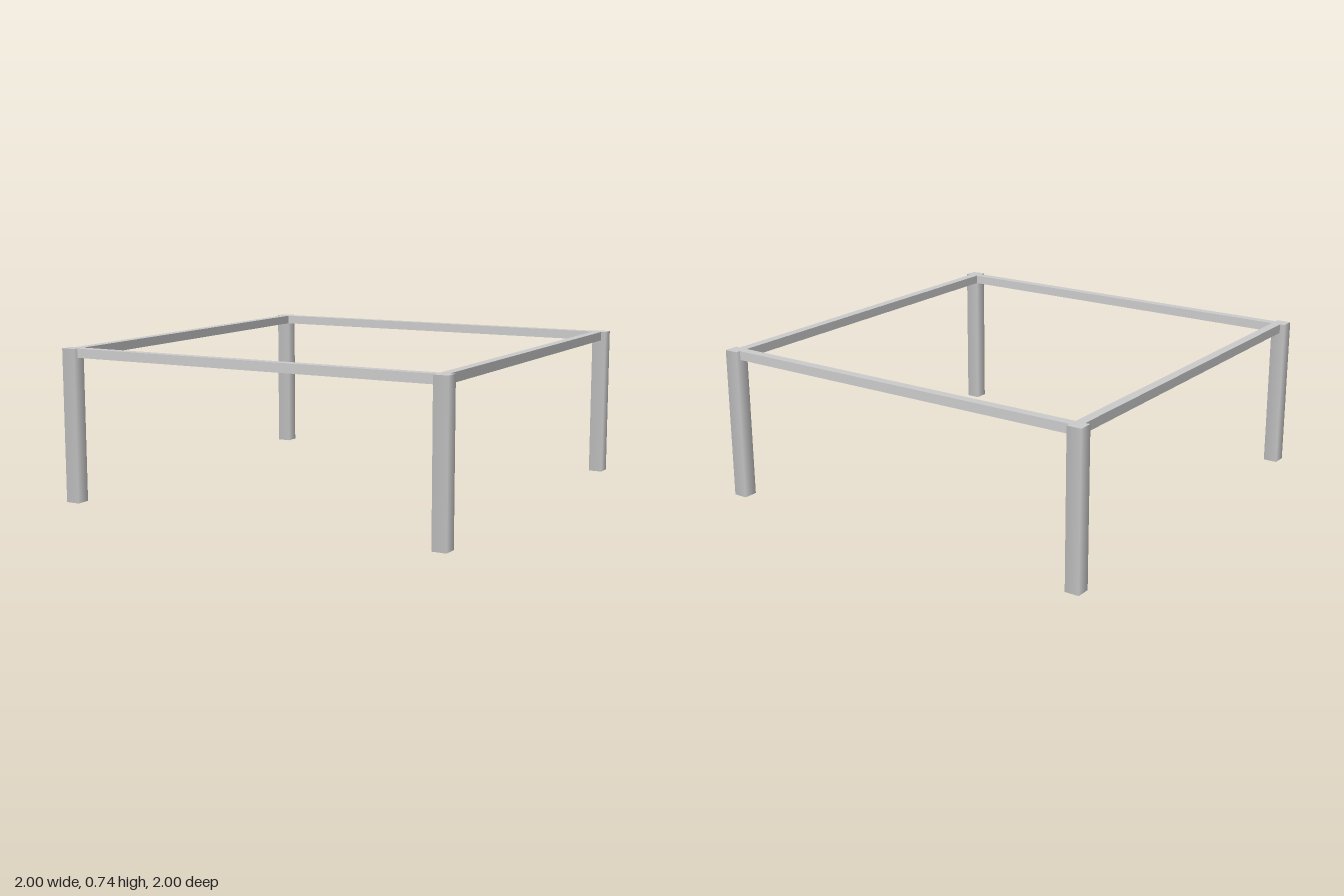
import * as THREE from 'three';

const HEIGHT = 0.74;
const LEG = 0.07;
const RAIL_WIDTH = 0.046;
const RAIL_HEIGHT = 0.044;
const INNER = 1 - LEG; // inner face of the legs and rails

const material = new THREE.MeshStandardMaterial({ color: 0xcccccc, side: THREE.DoubleSide });

function addMesh(parent, name, geometry) {
  const mesh = new THREE.Mesh(geometry, material);
  mesh.name = name;
  parent.add(mesh);
  return mesh;
}

export function createModel() {
  const table = new THREE.Group();
  table.name = 'tableFrame';

  // Square hollow legs, smooth-shaded round the sides, open at the foot
  const tube = new THREE.CylinderGeometry(LEG / Math.SQRT2, LEG / Math.SQRT2, HEIGHT, 4, 1, true)
    .rotateY(Math.PI / 4).translate(0, HEIGHT / 2, 0);
  const cap = new THREE.PlaneGeometry(LEG, LEG).rotateX(-Math.PI / 2).translate(0, HEIGHT, 0);
  for (const [sideName, x] of [['Left', 1], ['Right', -1]]) {
    for (const [endName, z] of [['front', 1], ['back', -1]]) {
      const leg = new THREE.Group();
      leg.name = `${endName}${sideName}Leg`;
      leg.position.set(x * (1 - LEG / 2), 0, z * (1 - LEG / 2));
      addMesh(leg, 'legTube', tube);
      addMesh(leg, 'legTop', cap);
      table.add(leg);
    }
  }

  // Rails between the legs, flush with their tops and inner faces
  const rail = new THREE.BoxGeometry(INNER * 2, RAIL_HEIGHT, RAIL_WIDTH)
    .translate(0, HEIGHT - RAIL_HEIGHT / 2, INNER + RAIL_WIDTH / 2);
  ['frontRail', 'leftRail', 'backRail', 'rightRail'].forEach((name, i) => {
    addMesh(table, name, rail).rotation.y = i * Math.PI / 2;
  });

  return table;
}
